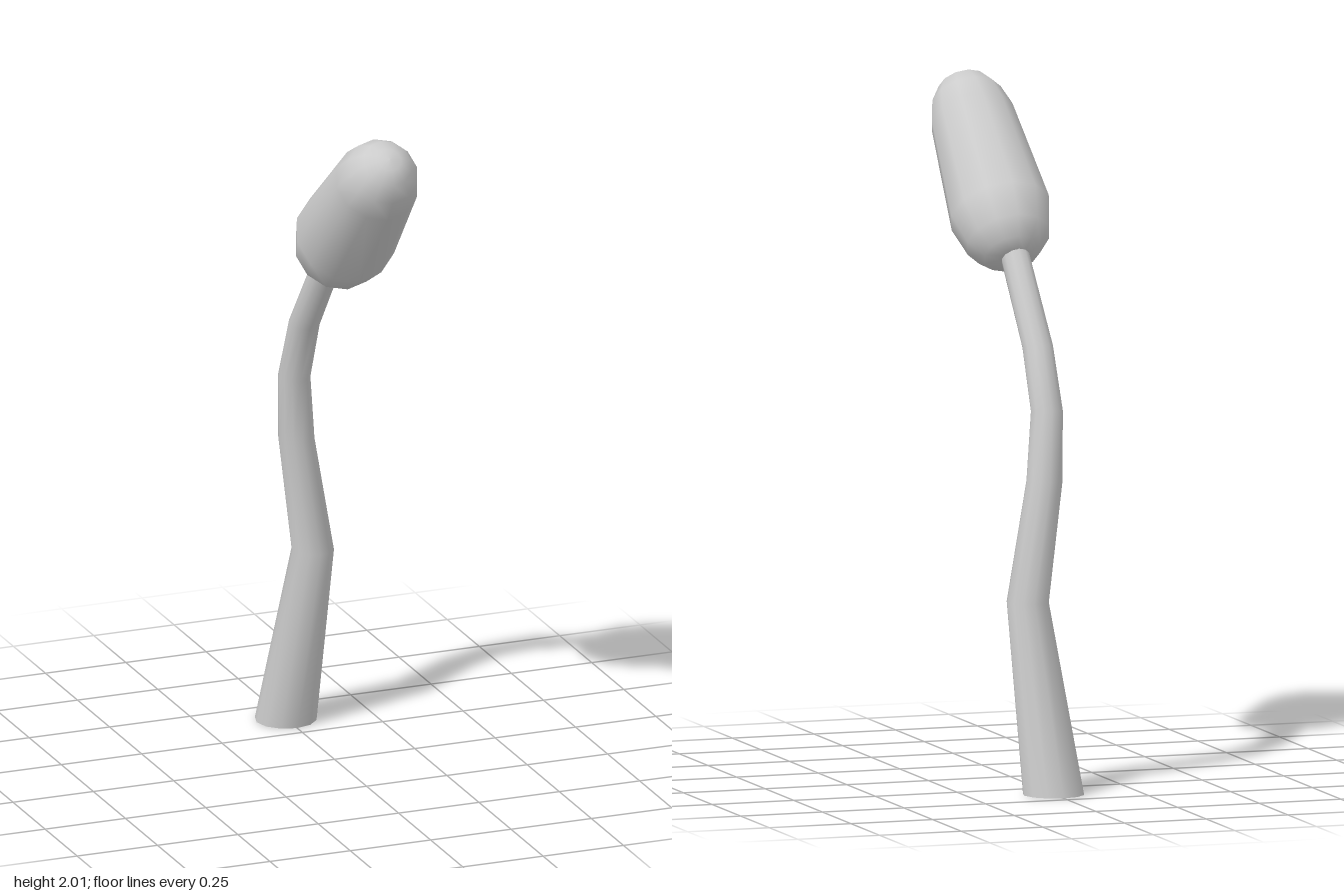
import * as THREE from 'three';
import { toCreasedNormals } from 'three/addons/utils/BufferGeometryUtils.js';

const SIDES = 12;

// Stem rings from the ground up: x, y, z, radius, forward tilt
const RINGS = [
  [0, 0, -0.38, 0.09, 0],
  [0.043, 0.55, -0.277, 0.062, 0],
  [-0.01, 0.9, -0.272, 0.053, 0],
  [-0.025, 1.1, -0.25, 0.047, 0.1],
  [-0.018, 1.28, -0.19, 0.045, 0.2],
  [-0.003, 1.53, -0.03, 0.042, 0.7],
];

// Head profile along its own axis: radius, height
const HEAD = [
  [0, 0], [0.045, 0], [0.085, 0.02], [0.125, 0.07], [0.15, 0.17],
  [0.124, 0.515], [0.105, 0.585], [0.073, 0.635], [0.035, 0.658], [0, 0.661],
];

// Bends a unit cylinder so that each row of vertices lands on its ring
function stemGeometry() {
  const geometry = new THREE.CylinderGeometry(1, 1, 1, SIDES, RINGS.length - 1);
  const position = geometry.attributes.position;
  const point = new THREE.Vector3();
  const axis = new THREE.Vector3(1, 0, 0);
  for (let i = 0; i < position.count; i++) {
    point.fromBufferAttribute(position, i);
    const row = Math.round((point.y + 0.5) * (RINGS.length - 1));
    const [x, y, z, radius, tilt] = RINGS[row];
    point.setY(0).multiplyScalar(radius).applyAxisAngle(axis, tilt);
    position.setXYZ(i, point.x + x, point.y + y, point.z + z);
  }
  return toCreasedNormals(geometry, 0.9);
}

export function createModel() {
  const group = new THREE.Group();
  const material = new THREE.MeshStandardMaterial({ color: 0xcccccc });

  // Tapering, crooked stem
  const stem = new THREE.Mesh(stemGeometry(), material);
  stem.name = 'stem';

  // Rounded head leaning forward
  const profile = HEAD.map(([r, h]) => new THREE.Vector2(r, h));
  const head = new THREE.Mesh(new THREE.LatheGeometry(profile, SIDES), material);
  head.name = 'head';
  head.rotation.x = Math.PI / 4;
  head.position.set(0, 1.514, -0.034);

  group.add(stem, head);
  return group;
}
